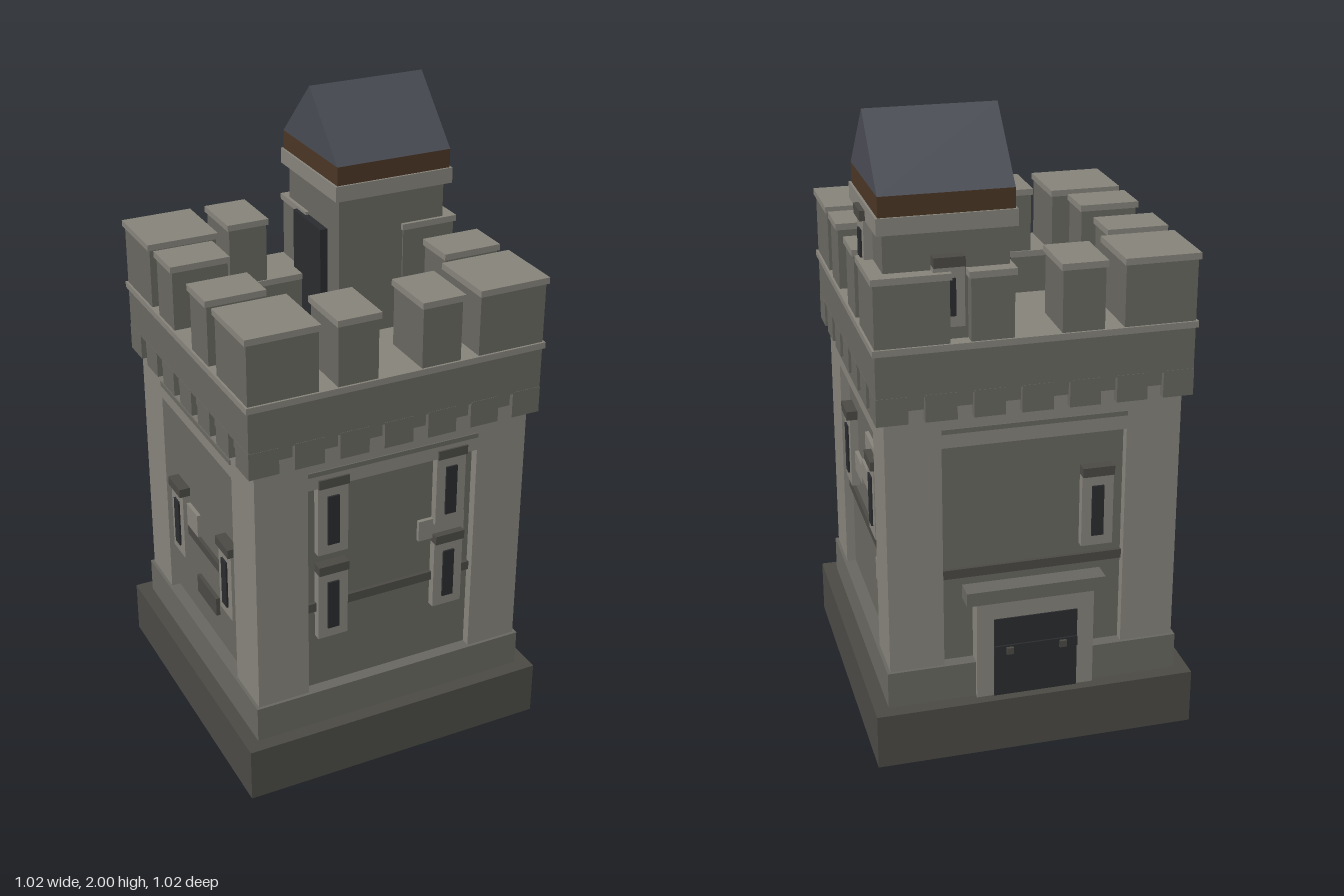
import * as THREE from 'three';

const mat = (color) => new THREE.MeshStandardMaterial({ color, flatShading: true });
const light = mat(0x85827a), mid = mat(0x67665f), dark = mat(0x4a4944);
const black = mat(0x2a2b2e), slate = mat(0x484a53), wood = mat(0x4a3524);

// Box given by its min and max on each axis
function box(parent, name, m, x0, x1, y0, y1, z0, z1) {
  const mesh = new THREE.Mesh(new THREE.BoxGeometry(x1 - x0, y1 - y0, z1 - z0), m);
  mesh.position.set((x0 + x1) / 2, (y0 + y1) / 2, (z0 + z1) / 2);
  mesh.name = name;
  parent.add(mesh);
  return mesh;
}

// Square block centred on the tower axis
const slab = (parent, name, m, r, y0, y1) => box(parent, name, m, -r, r, y0, y1, -r, r);

// Square ring with a square opening
function ring(parent, name, m, outer, inner, y0, y1) {
  const square = (P, r) => new P([[-r, -r], [r, -r], [r, r], [-r, r]].map(([x, y]) => new THREE.Vector2(x, y)));
  const shape = square(THREE.Shape, outer);
  shape.holes.push(square(THREE.Path, inner));
  const geo = new THREE.ExtrudeGeometry(shape, { depth: y1 - y0, bevelEnabled: false });
  geo.rotateX(-Math.PI / 2).translate(0, y0, 0);
  const mesh = new THREE.Mesh(geo, m);
  mesh.name = name;
  parent.add(mesh);
}

// Arrow slit with frame and hood on a wall facing local +z; y is the sill, z the wall plane
function arrowSlit(parent, u, y, z, h = 0.235, w = 0.05) {
  const g = new THREE.Group();
  g.name = 'arrowSlit';
  const s = 0.019, e = 0.034, f = z + 0.026;
  box(g, 'frameLeft', light, u + s, u + w, y, y + h, z - 0.02, f);
  box(g, 'frameRight', light, u - w, u - s, y, y + h, z - 0.02, f);
  box(g, 'sill', light, u - s, u + s, y, y + e, z - 0.02, f);
  box(g, 'head', light, u - s, u + s, y + h - e, y + h, z - 0.02, f);
  box(g, 'slit', black, u - s, u + s, y + e, y + h - e, z - 0.02, f + 0.006);
  box(g, 'hood', dark, u - w, u + w, y + h, y + h + 0.03, z - 0.02, f + 0.01);
  parent.add(g);
}

// Windows [u, sill] and stones [u0, u1, y0, y1, material] for each side
const sides = [
  { name: 'front', angle: 0,
    slits: [[-0.2, 0.49], [0.2, 0.49], [-0.2, 0.793], [0.2, 0.793]],
    stones: [[0.1, 0.26, 0.74, 0.81, light]] },
  { name: 'leftSide', angle: Math.PI / 2,
    slits: [[-0.2, 0.65], [0.2, 0.65]],
    stones: [[0.05, 0.21, 0.855, 0.93, light], [-0.155, -0.03, 0.71, 0.775, light],
      [-0.03, 0.125, 0.735, 0.8, light], [0.17, 0.28, 0.475, 0.55, light], [0.16, 0.28, 0.63, 0.69, dark]] },
  { name: 'back', angle: Math.PI, slits: [[0.2, 0.65]], stones: [] },
  { name: 'rightSide', angle: -Math.PI / 2,
    slits: [[-0.2, 0.49], [0.2, 0.49]],
    stones: [[-0.18, -0.06, 0.62, 0.7, light], [-0.08, 0.08, 0.4, 0.465, dark]] },
];

function buildSide({ name, angle, slits, stones }) {
  const g = new THREE.Group();
  g.name = name;
  g.rotation.y = angle;
  const wall = 0.425;
  box(g, 'stringCourse', dark, -0.285, 0.285, 0.585, 0.615, 0.41, wall + 0.012);
  box(g, 'friezeStrip', mid, -0.285, 0.285, 1.075, 1.09, 0.44, 0.459);
  slits.forEach(([u, y]) => arrowSlit(g, u, y, wall));
  stones.forEach(([a, b, c, d, m]) => box(g, 'wallStone', m, a, b, c, d, 0.41, wall + 0.013));
  // Corbels; the far corner one belongs to the next side
  for (let i = -3; i < 3; i++) {
    const u = i * 0.1445;
    box(g, 'corbel', mid, u - 0.0475, u + 0.0475, 1.13, 1.215, 0.386, 0.481);
  }
  // Merlons with caps
  for (const u of [-0.135, 0.135]) {
    box(g, 'merlon', mid, u - 0.064, u + 0.064, 1.36, 1.555, 0.3, 0.48);
    box(g, 'merlonCap', light, u - 0.07, u + 0.07, 1.555, 1.575, 0.295, 0.487);
  }
  box(g, 'cornerMerlon', mid, 0.26, 0.48, 1.36, 1.555, 0.26, 0.48);
  box(g, 'cornerMerlonCap', light, 0.255, 0.487, 1.555, 1.575, 0.255, 0.487);
  // Corner pillar
  box(g, 'cornerPillar', light, 0.285, 0.455, 0.3, 1.03, 0.285, 0.455);
  return g;
}

function buildDoor() {
  const g = new THREE.Group();
  g.name = 'mainDoor';
  g.rotation.y = Math.PI;
  for (const s of [-1, 1]) {
    const x = s * 0.16;
    box(g, 'doorJamb', light, x - 0.027, x + 0.027, 0.18, 0.51, 0.41, 0.478);
    const h = s * 0.085;
    box(g, 'doorStud', dark, h - 0.011, h + 0.011, 0.33, 0.352, 0.47, 0.497);
  }
  box(g, 'doorHead', light, -0.133, 0.133, 0.45, 0.51, 0.41, 0.478);
  box(g, 'doorLeaf', black, -0.133, 0.133, 0.18, 0.45, 0.41, 0.482);
  box(g, 'doorBar', black, -0.133, 0.133, 0.325, 0.357, 0.47, 0.488);
  box(g, 'doorLintel', mid, -0.22, 0.22, 0.51, 0.555, 0.41, 0.488);
  return g;
}

function buildTurret() {
  const g = new THREE.Group();
  g.name = 'turret';
  g.position.set(0.26, 0, -0.26);
  slab(g, 'turretBody', mid, 0.183, 1.2, 1.69);
  slab(g, 'turretCornice', light, 0.203, 1.69, 1.74);
  slab(g, 'eavesBeam', wood, 0.196, 1.74, 1.8);
  // Gable roof, ridge along x
  const gable = new THREE.Shape();
  gable.moveTo(-0.196, 1.8).lineTo(0.196, 1.8).lineTo(0, 2).closePath();
  const geo = new THREE.ExtrudeGeometry(gable, { depth: 0.392, bevelEnabled: false });
  geo.translate(0, 0, -0.196).rotateY(Math.PI / 2);
  const roof = new THREE.Mesh(geo, slate);
  roof.name = 'gableRoof';
  g.add(roof);
  // Roof door facing the terrace
  box(g, 'turretDoor', black, -0.208, -0.17, 1.22, 1.565, -0.1, 0.1);
  // Small slits on the two outer faces
  [[Math.PI / 2, 1.51, 0.18], [Math.PI, 1.41, 0.18]].forEach(([a, y, h]) => {
    const face = new THREE.Group();
    face.name = 'turretWindow';
    face.rotation.y = a;
    arrowSlit(face, 0, y, 0.183, h, 0.046);
    g.add(face);
  });
  return g;
}

export function createModel() {
  const model = new THREE.Group();
  model.name = 'castleTower';
  // Base and walls
  slab(model, 'base', dark, 0.51, 0, 0.18);
  slab(model, 'plinth', mid, 0.465, 0.18, 0.3);
  slab(model, 'wallCore', mid, 0.425, 0.3, 1.03);
  slab(model, 'frieze', light, 0.455, 1.03, 1.22);
  slab(model, 'corbelBand', mid, 0.465, 1.165, 1.212);
  // Parapet around the terrace
  ring(model, 'parapet', mid, 0.48, 0.3, 1.21, 1.345);
  ring(model, 'parapetCoping', light, 0.487, 0.295, 1.345, 1.365);
  sides.forEach((s) => model.add(buildSide(s)));
  model.add(buildDoor(), buildTurret());
  return model;
}
